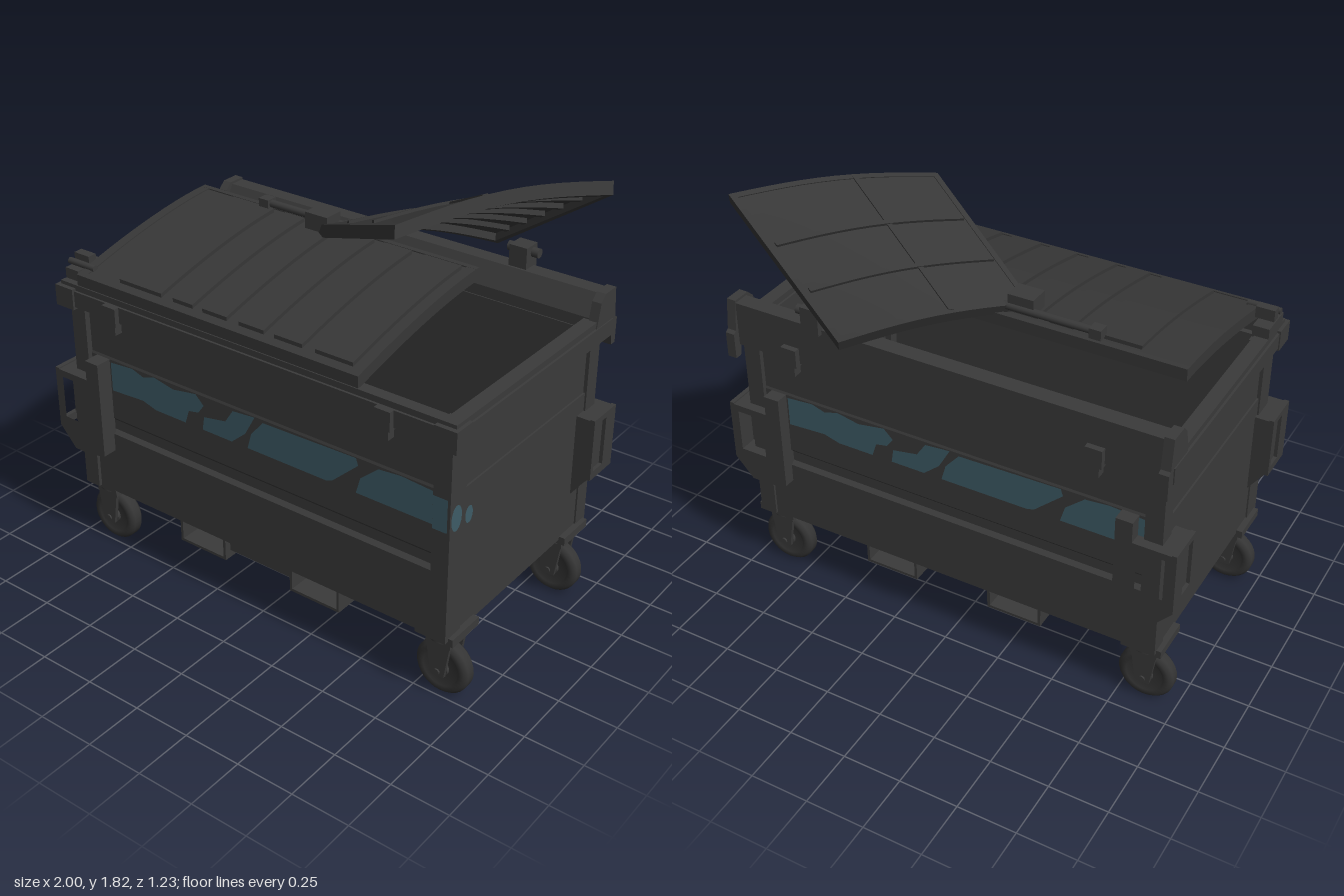
import * as THREE from 'three';

const mat = (name, color) => Object.assign(new THREE.MeshStandardMaterial({ color }), { name });

export function createModel() {
  const root = new THREE.Group();
  root.name = 'wasteContainer';
  const steel = mat('charcoal steel', 0x3a3a3a);
  const plastic = mat('lid plastic', 0x373737);
  const rubber = mat('wheel rubber', 0x343434);
  const paint = mat('teal paint', 0x3e5c67);

  const add = (name, geo, m = steel) => {
    const mesh = new THREE.Mesh(geo, m);
    mesh.name = name;
    root.add(mesh);
    return mesh;
  };
  // box from its limits
  const box = (name, x0, x1, y0, y1, z0, z1, m) => add(name,
    new THREE.BoxGeometry(Math.abs(x1 - x0), y1 - y0, Math.abs(z1 - z0))
      .translate((x0 + x1) / 2, (y0 + y1) / 2, (z0 + z1) / 2), m);
  const poly = (pts) => new THREE.Shape(pts.map(([x, y]) => new THREE.Vector2(x, y)));
  // outline in z,y swept along x
  const prismX = (name, pts, x0, x1, m) => add(name,
    new THREE.ExtrudeGeometry(poly(pts.map(([z, y]) => [-z, y])), { depth: x1 - x0, bevelEnabled: false })
      .rotateY(Math.PI / 2).translate(x0, 0, 0), m);
  // outline in x,y swept along z, with an optional hole
  const prismZ = (name, pts, z0, z1, hole, m) => {
    const s = poly(pts);
    if (hole) s.holes.push(poly(hole));
    return add(name, new THREE.ExtrudeGeometry(s, { depth: z1 - z0, bevelEnabled: false }).translate(0, 0, z0), m);
  };
  const cyl = (name, r, len, axis, x, y, z, m, n = 24) => {
    const g = new THREE.CylinderGeometry(r, r, len, n);
    if (axis === 'x') g.rotateZ(Math.PI / 2);
    if (axis === 'z') g.rotateX(Math.PI / 2);
    return add(name, g.translate(x, y, z), m);
  };

  // long walls with a pressed horizontal channel
  const wall = [[0, 0.31], [0.04, 0.31], [0.04, 0.6], [0.022, 0.615], [0.022, 0.66], [0.034, 0.675],
    [0.034, 0.95], [0.03, 0.96], [0.03, 1.2], [0, 1.2]];
  prismX('frontWall', wall.map(([d, y]) => [0.505 + d, y]), -0.91, 0.91);
  prismX('backWall', wall.map(([d, y]) => [-0.425 - d, y]), -0.91, 0.91);
  box('floor', -0.91, 0.91, 0.31, 0.34, -0.45, 0.53);

  for (const s of [-1, 1]) {
    // end walls, thicker below
    box('endWall', s * 0.88, s * 0.91, 0.31, 1.2, -0.45, 0.53);
    box('endPanel', s * 0.9, s * 0.918, 0.31, 0.94, -0.46, 0.5);
    // corner posts
    box('frontPost', s * 0.85, s * 0.925, 0.31, 1.2, 0.46, 0.56);
    box('backPost', s * 0.85, s * 0.925, 0.31, 1.2, -0.475, -0.4);
    // rim
    box('endRim', s * 0.88, s * 0.96, 1.17, 1.24, -0.5, 0.59);
    box('endRimLip', s * 0.89, s * 0.95, 1.24, 1.265, -0.5, 0.58);
    box('rimCorner', s * 0.87, s * 0.965, 1.16, 1.25, 0.5, 0.6);
    // rim clips
    for (const [z0, z1] of [[0.57, 0.612], [-0.535, -0.49]]) {
      box('rimClip', s * 0.66 - 0.035, s * 0.66 + 0.035, 1.16, 1.24, z0, z1);
      box('clipTongue', s * 0.66 - 0.025, s * 0.66 + 0.025, 1.12, 1.16, z0, z1 - 0.006);
    }
    // end brackets of the hinge rail
    prismX('railBracket', [[-0.37, 1.2], [-0.4, 1.34], [-0.43, 1.37], [-0.51, 1.37], [-0.525, 1.24], [-0.54, 1.23],
      [-0.54, 1.12], [-0.51, 1.12], [-0.5, 1.18], [-0.4, 1.18]], s * 0.935 - 0.02, s * 0.935 + 0.02);
  }
  box('frontRim', -0.95, 0.95, 1.17, 1.24, 0.53, 0.59);
  box('frontRimLip', -0.94, 0.94, 1.24, 1.265, 0.53, 0.58);
  box('backRim', -0.95, 0.95, 1.17, 1.25, -0.51, -0.43);
  prismX('hingeRail', [[-0.51, 1.24], [-0.39, 1.24], [-0.39, 1.27], [-0.44, 1.36], [-0.51, 1.36]], -0.95, 0.95);

  // side lifting pockets on three corners
  for (const [sx, sz, face] of [[-1, 1, 0.55], [-1, -1, -0.455], [1, -1, -0.455]]) {
    const fx = (pts) => pts.map(([x, y]) => [x * sx, y]);
    const zr = (a, b) => [face + sz * a, face + sz * b].sort((p, q) => p - q);
    const opening = fx([[0.84, 0.64], [0.96, 0.64], [0.96, 0.83], [0.84, 0.83]]);
    prismZ('pocketFace', fx([[0.75, 0.52], [0.83, 0.5], [0.92, 0.5], [1, 0.59], [1, 0.86], [0.82, 0.86],
      [0.82, 0.95], [0.75, 0.95]]), ...zr(-0.015, 0.06), opening);
    prismZ('pocketSide', fx([[0.9, 0.5], [0.92, 0.5], [0.985, 0.59], [0.985, 0.86], [0.9, 0.86]]), ...zr(-0.11, -0.015));
    const [za, zb] = zr(-0.11, 0.06);
    // raised frame on the outer side
    box('pocketFrameTop', sx * 0.98, sx, 0.84, 0.865, za, zb);
    box('pocketFrameBottom', sx * 0.98, sx, 0.59, 0.625, za, zb);
    box('pocketFrameEdge', sx * 0.98, sx, 0.6, 0.86, ...zr(-0.11, -0.09));
  }

  // casters
  for (const x of [-0.86, 0.86]) {
    for (const z of [0.45, -0.37]) {
      const profile = [[0.03, -0.025], [0.075, -0.025], [0.08, -0.033], [0.105, -0.033], [0.118, -0.018],
        [0.118, 0.018], [0.105, 0.033], [0.08, 0.033], [0.075, 0.025], [0.03, 0.025]];
      add('wheel', new THREE.LatheGeometry(profile.map(([r, h]) => new THREE.Vector2(r, h)), 32)
        .rotateX(Math.PI / 2).translate(x, 0.119, z), rubber);
      cyl('wheelHub', 0.035, 0.08, 'z', x, 0.119, z);
      cyl('axle', 0.014, 0.13, 'z', x, 0.119, z, steel, 12);
      box('casterPlate', x - 0.085, x + 0.085, 0.29, 0.325, z - 0.09, z + 0.09);
      cyl('swivel', 0.07, 0.03, 'y', x, 0.278, z);
      box('forkBridge', x - 0.055, x + 0.055, 0.243, 0.268, z - 0.058, z + 0.058);
      for (const s of [-1, 1]) {
        const zc = z + s * 0.05;
        prismZ('casterFork', [[x - 0.055, 0.265], [x - 0.03, 0.1], [x + 0.03, 0.1], [x + 0.055, 0.265]],
          zc - 0.008, zc + 0.008);
      }
    }
  }

  // underside fork sleeves and the bar between them
  for (const [z0, z1] of [[0.38, 0.53], [-0.44, -0.3]]) {
    for (const c of [-0.29, 0.29]) {
      const rect = (w, a, b) => [[c - w, a], [c + w, a], [c + w, b], [c - w, b]];
      prismZ('forkSleeve', rect(0.122, 0.2, 0.315), z0, z1, rect(0.11, 0.212, 0.298));
    }
  }
  box('sleeveBar', -0.17, 0.17, 0.235, 0.312, 0.4, 0.5);

  // slab bent over a surface: box corners mapped by (u, v) plus an offset along n
  const slab = (name, fn, n, u0, u1, v0, v1, t0, t1) => {
    const g = new THREE.BoxGeometry(1, 1, 1, 12, 1, 12);
    const p = g.attributes.position;
    for (let i = 0; i < p.count; i++) {
      const q = fn(u0 + (u1 - u0) * (p.getX(i) + 0.5), v0 + (v1 - v0) * (p.getZ(i) + 0.5));
      q.addScaledVector(n, t0 + (t1 - t0) * (p.getY(i) + 0.5));
      p.setXYZ(i, q.x, q.y, q.z);
    }
    g.computeVertexNormals();
    return add(name, g, plastic);
  };
  const lidEdges = (fn, n) => {
    slab('lidSkin', fn, n, 0, 1, 0, 1, -0.01, 0.008);
    slab('lidLip', fn, n, 0, 0.03, 0, 1, -0.04, 0.012);
    slab('lidLip', fn, n, 0.97, 1, 0, 1, -0.04, 0.012);
    slab('lidLip', fn, n, 0, 1, 0, 0.03, -0.04, 0.012);
    slab('lidLip', fn, n, 0, 1, 0.97, 1, -0.04, 0.012);
  };

  // lowered lid with raised panels
  const up = new THREE.Vector3(0, 1, 0);
  const lowered = (u, v) => new THREE.Vector3(-0.86 + 1.39 * u, 1.3 + 0.135 * (1 - Math.pow(v, 1.6)), -0.2 + 0.775 * v);
  lidEdges(lowered, up);
  for (const [a, b] of [[-0.66, -0.44], [-0.38, -0.28], [-0.23, -0.11], [-0.05, 0.07], [0.12, 0.25], [0.31, 0.48]]) {
    slab('lidPanel', lowered, up, (a + 0.86) / 1.39, (b + 0.86) / 1.39, 0.06, 0.95, 0, 0.024);
  }

  // raised, twisted lid
  const [A, B, C, D] = [[-0.18, 1.46, -0.1], [0.42, 1.72, 0.21], [0.93, 1.8, -0.46], [0.36, 1.4, -0.61]]
    .map((c) => new THREE.Vector3(...c));
  const tilt = B.clone().sub(A).cross(D.clone().sub(A)).normalize();
  const raised = (u, v) => A.clone().lerp(D, u).lerp(B.clone().lerp(C, u), v)
    .addScaledVector(tilt, 0.045 * Math.sin(Math.PI * u));
  lidEdges(raised, tilt);
  for (const v of [0.18, 0.34, 0.5, 0.66, 0.82]) {
    slab('lidRib', raised, tilt, 0.05, 0.95, v - 0.015, v + 0.015, -0.03, 0);
  }
  for (const v of [0.33, 0.64]) slab('lidRidge', raised, tilt, 0.04, 0.96, v - 0.012, v + 0.012, 0, 0.02);
  slab('lidFold', raised, tilt, 0.4, 0.425, 0.02, 0.98, 0, 0.016);

  // hinge rods and fittings
  cyl('hingeRod', 0.016, 0.42, 'x', -0.3, 1.472, -0.165, steel, 12);
  box('rodEnd', -0.51, -0.46, 1.45, 1.492, -0.19, -0.14);
  box('hingeKnuckle', -0.22, -0.11, 1.455, 1.525, -0.17, -0.08);
  box('hingeArm', 0.51, 0.59, 1.34, 1.45, -0.53, -0.45);
  cyl('hingePin', 0.02, 0.14, 'x', 0.55, 1.42, -0.5, steel, 12);
  // latch on the front corner
  box('latchBase', -0.95, -0.88, 1.26, 1.31, 0.4, 0.55);
  box('latchLever', -0.945, -0.865, 1.31, 1.36, 0.46, 0.5);
  cyl('latchPin', 0.014, 0.14, 'x', -0.88, 1.33, 0.52, steel, 10);

  // painted patches on both long walls, wrapping one corner
  const patches = [
    [[-0.74, 0.81], [-0.74, 0.94], [-0.62, 0.95], [-0.56, 0.93], [-0.5, 0.95], [-0.4, 0.93], [-0.28, 0.95],
      [-0.24, 0.91], [-0.27, 0.87], [-0.32, 0.86], [-0.34, 0.8], [-0.5, 0.8], [-0.57, 0.82]],
    [[-0.25, 0.8], [-0.24, 0.86], [-0.13, 0.88], [-0.09, 0.94], [0.02, 0.95], [-0.03, 0.86], [-0.1, 0.8]],
    [[-0.02, 0.8], [0, 0.87], [0.06, 0.94], [0.5, 0.95], [0.51, 0.92], [0.39, 0.81], [0.36, 0.8]],
    [[0.5, 0.8], [0.52, 0.87], [0.6, 0.94], [0.7, 0.95], [0.848, 0.94], [0.848, 0.8]],
  ];
  for (const pts of patches) {
    const geo = new THREE.ShapeGeometry(poly(pts));
    add('frontPaint', geo.clone().translate(0, 0, 0.543), paint);
    add('backPaint', geo.rotateY(Math.PI).translate(0, 0, -0.463), paint);
  }
  add('postPaint', new THREE.ShapeGeometry(poly([[0.852, 0.8], [0.915, 0.8], [0.915, 0.94], [0.852, 0.94]]))
    .translate(0, 0, 0.563), paint);
  for (const [z, y, rz, ry] of [[0.522, 0.85, 0.034, 0.055], [0.44, 0.825, 0.025, 0.037]]) {
    add('sidePaint', new THREE.CircleGeometry(1, 14).scale(rz, ry, 1).rotateY(Math.PI / 2).translate(0.928, y, z), paint);
  }
  return root;
}
